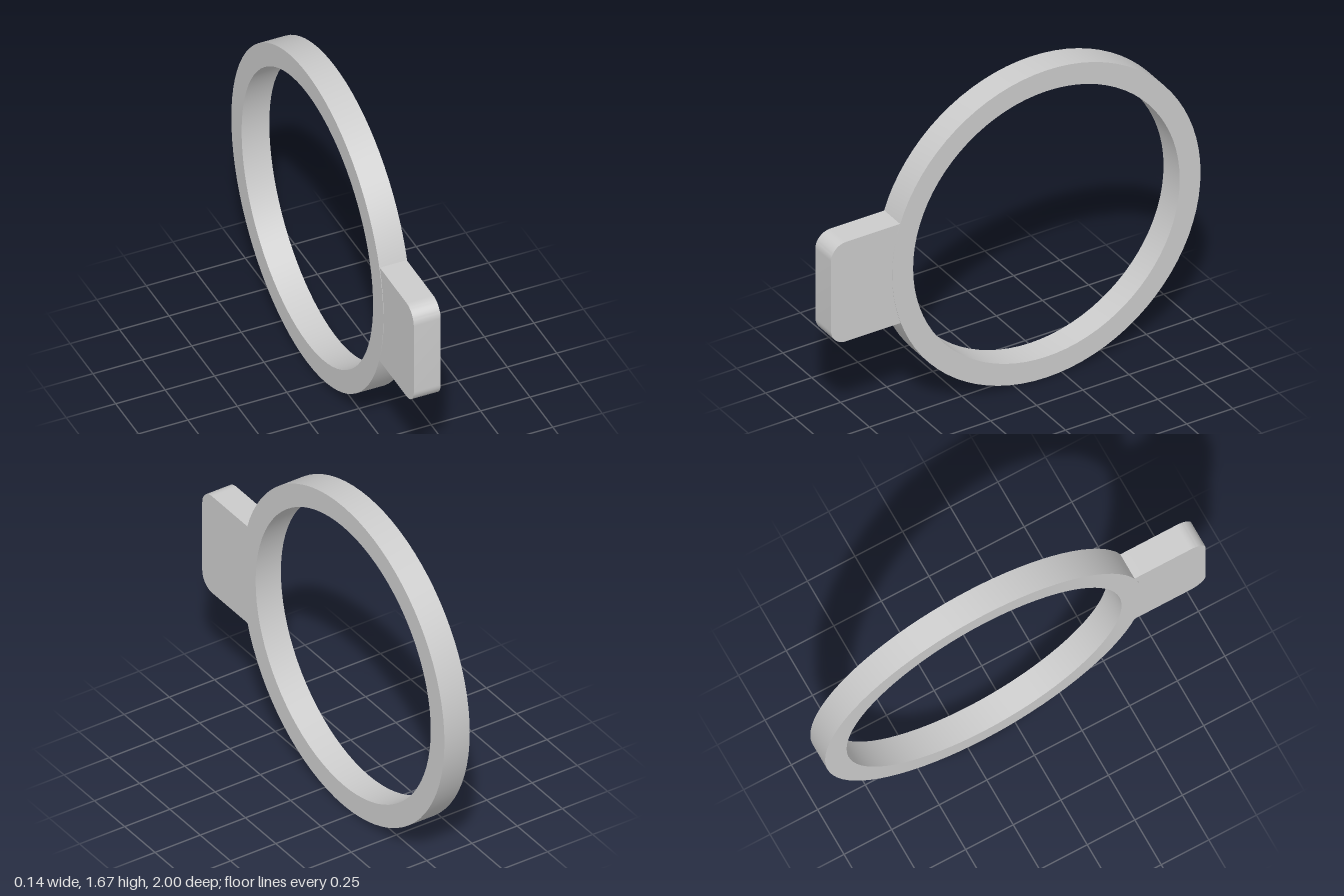
import * as THREE from 'three';
import { toCreasedNormals } from 'three/addons/utils/BufferGeometryUtils.js';

const material = new THREE.MeshStandardMaterial({ color: 0xcccccc });

// Extrudes a (z, y) outline symmetrically across x.
function plate(name, shape, thickness, curveSegments) {
  const geometry = new THREE.ExtrudeGeometry(shape, { depth: thickness, bevelEnabled: false, curveSegments });
  geometry.translate(0, 0, -thickness / 2);
  geometry.rotateY(-Math.PI / 2);
  const mesh = new THREE.Mesh(toCreasedNormals(geometry, 0.6), material);
  mesh.name = name;
  return mesh;
}

export function createModel() {
  const group = new THREE.Group();
  group.name = 'ringWithTab';

  // Upright ring
  const outer = 0.835, inner = 0.722, cz = -0.165;
  const ring = new THREE.Shape().absarc(cz, outer, outer, 0, Math.PI * 2);
  ring.holes.push(new THREE.Path().absarc(cz, outer, inner, 0, Math.PI * 2, true));
  group.add(plate('ring', ring, 0.14, 40));

  // Tab at the front, rounded on its outer corners and sunk into the ring
  const back = 0.59, front = 1, low = 0.56, high = 1.1, r = 0.08;
  const tab = new THREE.Shape();
  tab.moveTo(back, low);
  tab.lineTo(front - r, low);
  tab.absarc(front - r, low + r, r, -Math.PI / 2, 0);
  tab.lineTo(front, high - r);
  tab.absarc(front - r, high - r, r, 0, Math.PI / 2);
  tab.lineTo(back, high);
  tab.closePath();
  group.add(plate('tab', tab, 0.136, 8));

  return group;
}
